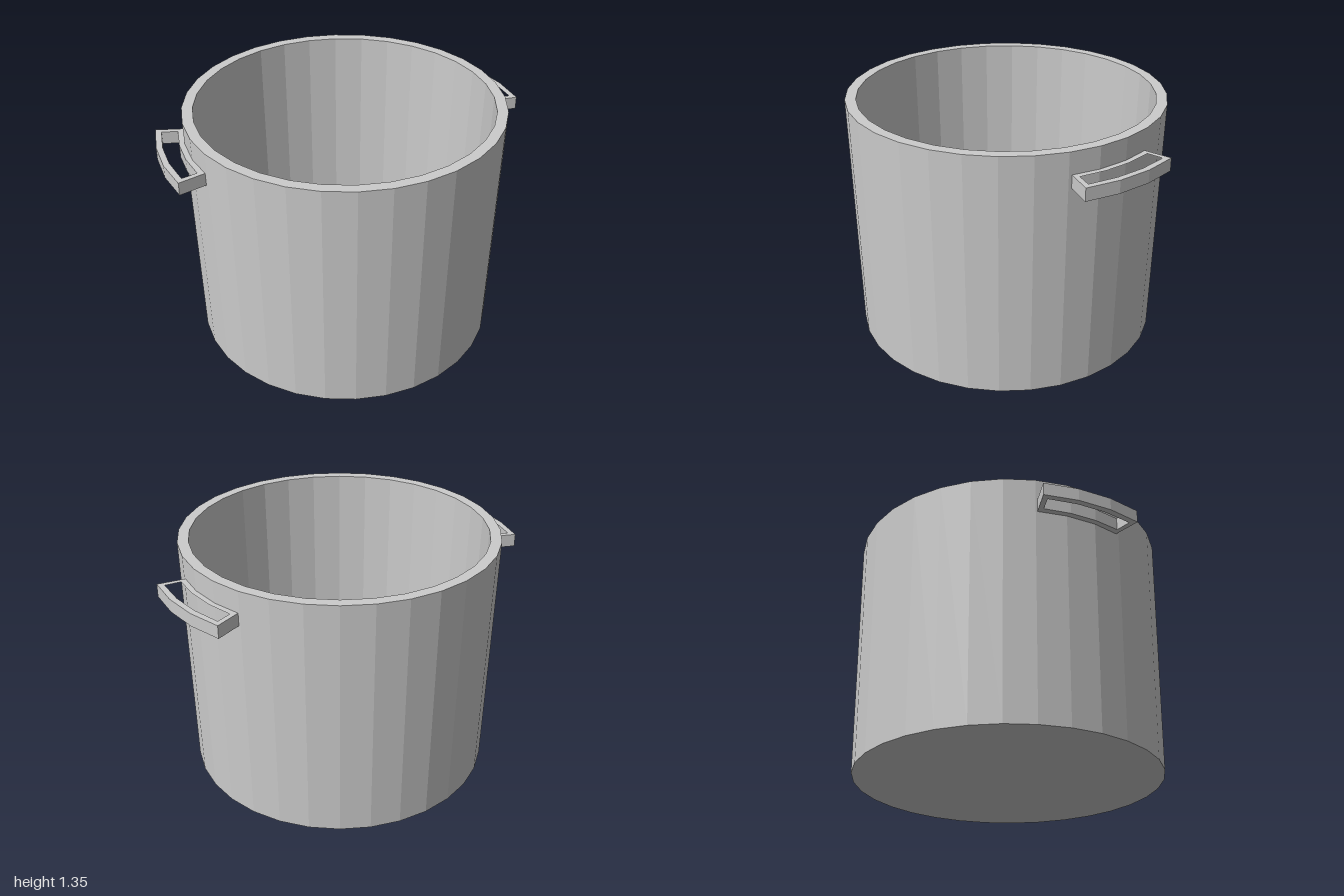
import * as THREE from 'three';

const material = new THREE.MeshStandardMaterial({ color: 0xcccccc, flatShading: true });
const RAD = Math.PI / 180;

// Points along an arc about the pot's axis, angles in degrees
function arc(radius, from, to, side, steps = 3) {
  return Array.from({ length: steps + 1 }, (_, i) => {
    const a = (from + (to - from) * i / steps) * RAD;
    return new THREE.Vector2(side * radius * Math.cos(a), radius * Math.sin(a));
  });
}

// Closed ring sector between two radii
function sector(inner, outer, from, to, side) {
  return [...arc(inner, from, to, side), ...arc(outer, to, from, side)];
}

// Curved loop handle that follows the pot wall
function createHandle(name, side) {
  const shape = new THREE.Shape(sector(0.84, 1, -10.1, 21.9, side));
  shape.holes.push(new THREE.Path(sector(0.882, 0.967, -8.4, 20.2, side)));
  const geometry = new THREE.ExtrudeGeometry(shape, { depth: 0.07, bevelEnabled: false });
  geometry.rotateX(-Math.PI / 2);
  geometry.translate(0, 1.155, 0);
  const handle = new THREE.Mesh(geometry, material);
  handle.name = name;
  return handle;
}

export function createModel() {
  const model = new THREE.Group();
  model.name = 'cookingPot';

  // Slightly tapered body with base, rim, inner wall and floor
  const profile = [
    [0, 0], [0.835, 0], [0.855, 1.345], [0.797, 1.345], [0.78, 0.06], [0, 0.06],
  ].map(([r, y]) => new THREE.Vector2(r, y));
  const body = new THREE.Mesh(new THREE.LatheGeometry(profile, 32), material);
  body.name = 'potBody';

  model.add(body, createHandle('leftHandle', 1), createHandle('rightHandle', -1));
  return model;
}
